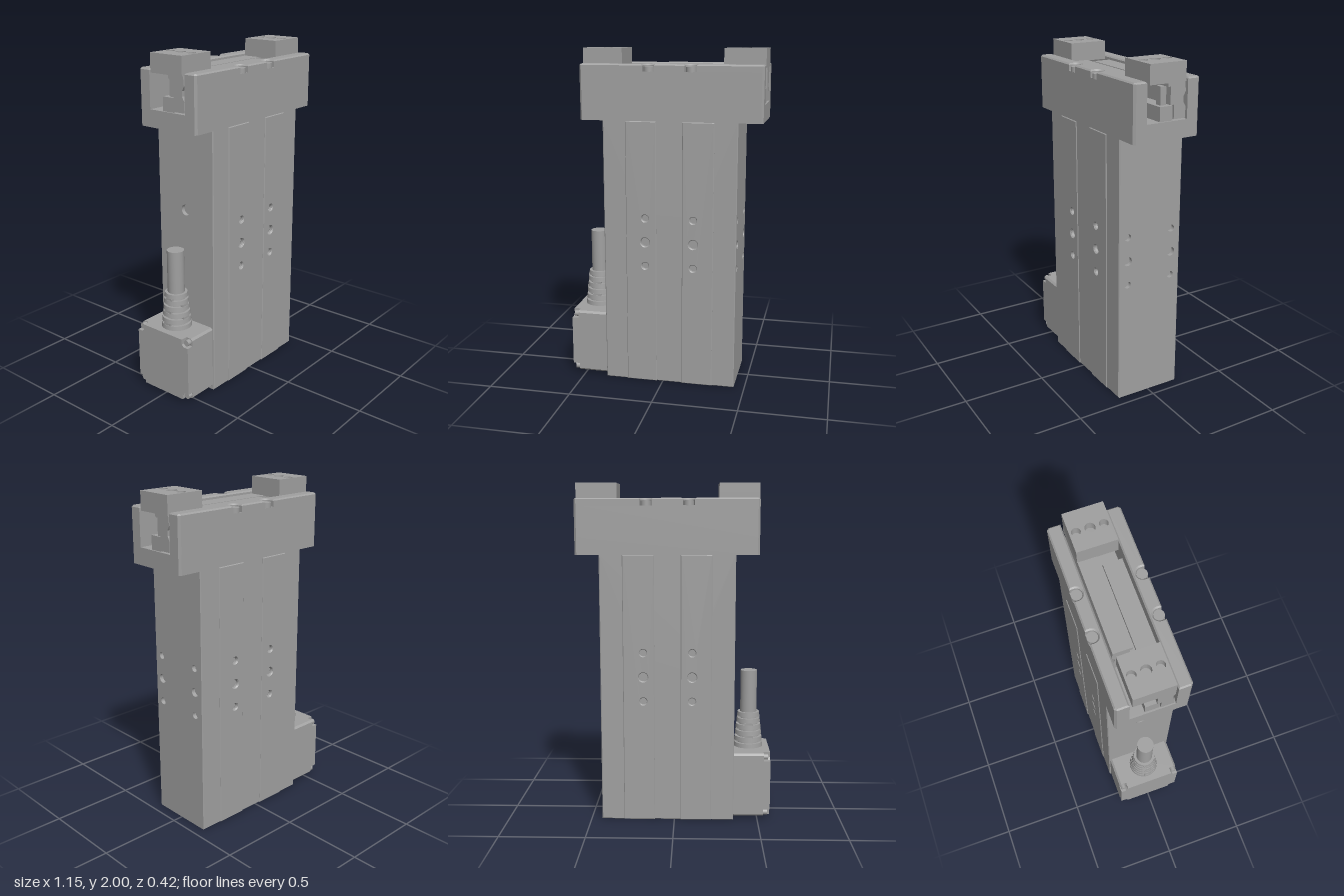
import * as THREE from 'three';

const mat = new THREE.MeshStandardMaterial({ color: 0xa0a0a0 });

export function createModel() {
  const model = new THREE.Group();

  const add = (name, geo, x = 0, y = 0, z = 0, parent = model) => {
    const m = new THREE.Mesh(geo, mat);
    m.name = name;
    m.position.set(x, y, z);
    parent.add(m);
    return m;
  };
  // box given by its limits on each axis
  const box = (name, x0, x1, y0, y1, z0, z1) =>
    add(name, new THREE.BoxGeometry(x1 - x0, y1 - y0, z1 - z0), (x0 + x1) / 2, (y0 + y1) / 2, (z0 + z1) / 2);
  const poly = (pts) => new THREE.Shape(pts.map(([a, b]) => new THREE.Vector2(a, b)));
  // extrusion of full thickness t, with an inward chamfer c on both faces
  const extrude = (shape, t, c = 0) => new THREE.ExtrudeGeometry(shape, {
    depth: t - 2 * c, curveSegments: 12, bevelEnabled: c > 0,
    bevelThickness: c, bevelSize: c, bevelOffset: -c, bevelSegments: 1,
  }).translate(0, 0, c);
  const cutRect = (u0, u1, v0, v1, c) => poly([[u0 + c, v0], [u1 - c, v0], [u1, v0 + c], [u1, v1 - c],
    [u1 - c, v1], [u0 + c, v1], [u0, v1 - c], [u0, v0 + c]]);
  // rectangular plate with round holes [u, v, radius]
  const plate = (u0, u1, v0, v1, t, holes = [], c = 0, slots = []) => {
    const s = poly([[u0, v0], [u1, v0], [u1, v1], [u0, v1]]);
    for (const [u, v, r] of holes) s.holes.push(new THREE.Path().absarc(u, v, r, 0, Math.PI * 2, true));
    s.holes.push(...slots);
    return extrude(s, t, c);
  };
  const column = (u) => [[u, 1.02, 0.021], [u, 0.875, 0.027], [u, 0.73, 0.021]];

  // ---- Main housing: core with drilled skins, chamfered at the corners ----
  const X0 = -0.355, X1 = 0.436, H = 1.59, Z = 0.205, T = 0.024, C = 0.005;
  box('housingCore', X0 + T, X1 - T, T, H, -Z + T, Z - T);
  for (const s of [1, -1]) {
    const name = s > 0 ? 'front' : 'back';
    add(name + 'Skin', plate(X0, X1, 0, H + C, T, [...column(-0.105), ...column(0.183)], C), 0, 0, s > 0 ? Z - T : -Z);
    // raised mounting strips with sloped edges
    for (const [a, b, c] of [[-0.22, -0.037, -0.105], [0.117, 0.302, 0.183]])
      add(name + 'Strip', plate(a, b, 0, H, 0.009, column(c), 0.004), 0, 0, s > 0 ? Z - 0.0045 : -Z - 0.0045);
  }
  const zi = Z - T + C + 0.001;
  add('rightSkin', plate(-zi, zi, 0, H, T, [...column(-0.148), ...column(0.143)]).rotateY(Math.PI / 2), X1 - T);
  add('leftSkin', plate(-zi, zi, 0, H, T, [[0, 1.1, 0.032]]).rotateY(Math.PI / 2), X0);

  // underside with screw holes and wavy cover seams
  const wave = (s) => {
    const edge = (off) => Array.from({ length: 21 }, (_, i) => {
      const x = -0.26 + i * 0.029;
      return new THREE.Vector2(x, s * (0.085 + 0.025 * Math.cos((x - 0.03) * 22) + off));
    });
    return new THREE.Path([...edge(0), ...edge(0.008).reverse()]);
  };
  const baseHoles = [];
  for (const v of [-0.145, 0.145]) for (const u of [-0.29, -0.1, 0.17, 0.36]) baseHoles.push([u, v, 0.02]);
  add('baseCover', plate(X0 + T, X1 - T, -zi, zi, T, baseHoles, 0, [wave(1), wave(-1)]).rotateX(Math.PI / 2), 0, T);

  // ---- Head: channel with two walls, vertical corners cut ----
  const A = -0.49, B = 0.575, cut = 0.012, zIn = 0.127;
  add('headBase', extrude(cutRect(A, B, -Z, Z, cut), 0.1).rotateX(Math.PI / 2), 0, 1.69);
  const notches = [-0.083, 0.163], nr = 0.034;
  // wall outline seen from above, with optional notches open to the outside
  const wall = (s, cuts) => {
    const w = new THREE.Shape();
    w.moveTo(A, s * zIn);
    w.lineTo(A, s * (Z - cut));
    w.lineTo(A + cut, s * Z);
    for (const n of cuts) {
      w.lineTo(n - nr, s * Z);
      w.lineTo(n - nr, s * 0.18);
      w.absarc(n, s * 0.18, nr, Math.PI, 0, s < 0);
      w.lineTo(n + nr, s * Z);
    }
    w.lineTo(B - cut, s * Z);
    w.lineTo(B, s * (Z - cut));
    w.lineTo(B, s * zIn);
    return w;
  };
  for (const s of [1, -1]) {
    add('headWall', extrude(wall(s, []), 0.18).rotateX(Math.PI / 2), 0, 1.87);
    add('headWallTop', extrude(wall(s, notches), 0.05, 0.008).rotateX(Math.PI / 2), 0, 1.912);
    for (const n of notches)
      add('notchScrew', new THREE.CylinderGeometry(0.03, 0.03, 0.03, 24), n, 1.883, s * 0.178);
  }

  // ---- Guide rail and sliders in the channel ----
  box('centreRail', A + 0.01, B - 0.01, 1.69, 1.77, -0.04, 0.04);
  for (const x of [A + 0.06, B - 0.06]) box('railPost', x - 0.02, x + 0.02, 1.77, 1.87, -0.018, 0.018);
  const slider = (s, x0, x1) => {
    const pts = [[0.005, 1.895], [0.113, 1.895], [0.118, 1.84], [0.104, 1.815], [0.104, 1.785], [0.118, 1.76],
      [0.118, 1.697], [0.045, 1.697], [0.045, 1.775], [0.022, 1.775], [0.022, 1.872], [0.005, 1.872]];
    add('slider', extrude(poly(pts.map(([z, y]) => [-s * z, y])), x1 - x0).rotateY(Math.PI / 2), x0);
  };
  slider(1, A + 0.005, 0.283);
  slider(-1, -0.203, B - 0.005);

  // ---- Jaws with drilled tops ----
  for (const [name, a, b, c] of [['leftSideJaw', 0.337, B, 0.45], ['rightSideJaw', A - 0.003, -0.259, -0.372]]) {
    box(name, a, b, 1.892, 1.95, -0.115, 0.112);
    const holes = [[c, -0.078, 0.025], [c, -0.002, 0.029], [c, 0.073, 0.025]];
    add(name + 'Top', plate(a, b, -0.115, 0.112, 0.05, holes).rotateX(Math.PI / 2), 0, 2);
  }

  // ---- Motor box on the side ----
  const m0 = 0.02, m1 = 0.41, k = 0.045;
  add('motorBody', extrude(cutRect(-0.195, 0.197, m0, m1, 0.012), X0 + 0.535).rotateY(Math.PI / 2), -0.535);
  const cap = [];
  const ends = [[-0.195, m0], [0.197, m0], [0.197, m1], [-0.195, m1]];
  ends.forEach(([u, v], i) => {
    const du = u < 0 ? k : -k, dv = v < 0.2 ? k : -k;
    const corner = [[u, v + dv], [u + du * 0.7, v + dv], [u + du, v + dv * 0.7], [u + du, v]];
    cap.push(...(i % 2 ? corner.reverse() : corner));
    const screw = new THREE.CylinderGeometry(0.018, 0.018, 0.028, 16).rotateZ(Math.PI / 2);
    add('motorScrew', screw, -0.547, v + dv * 0.5, -u - du * 0.5);
  });
  add('motorCap', extrude(poly(cap), 0.041).rotateY(Math.PI / 2), -0.575);

  // ---- Cable with ribbed strain relief ----
  const cable = new THREE.Group();
  cable.name = 'cable';
  cable.position.set(-0.45, 0, 0);
  model.add(cable);
  add('cableCore', new THREE.CylinderGeometry(0.05, 0.05, 0.48, 32), 0, 0.645, 0, cable);
  add('reliefCore', new THREE.CylinderGeometry(0.053, 0.072, 0.21, 32), 0, 0.515, 0, cable);
  const rad = (y) => 0.09 - (y - 0.41) * 0.11;
  for (let i = 0; i < 6; i++) {
    const y = 0.425 + i * 0.038;
    add('reliefRib', new THREE.CylinderGeometry(rad(y + 0.012), rad(y - 0.012), 0.026, 32), 0, y, 0, cable);
    // bridges between ribs, turned a quarter on each level
    if (i < 5) for (let j = 0; j < 2; j++) {
      const t = j * Math.PI + (i % 2) * Math.PI / 2, r = rad(y + 0.03) - 0.016;
      const b = add('reliefBridge', new THREE.BoxGeometry(0.03, 0.016, 0.05), Math.cos(t) * r, y + 0.019, Math.sin(t) * r, cable);
      b.rotation.y = -t;
    }
  }
  return model;
}
